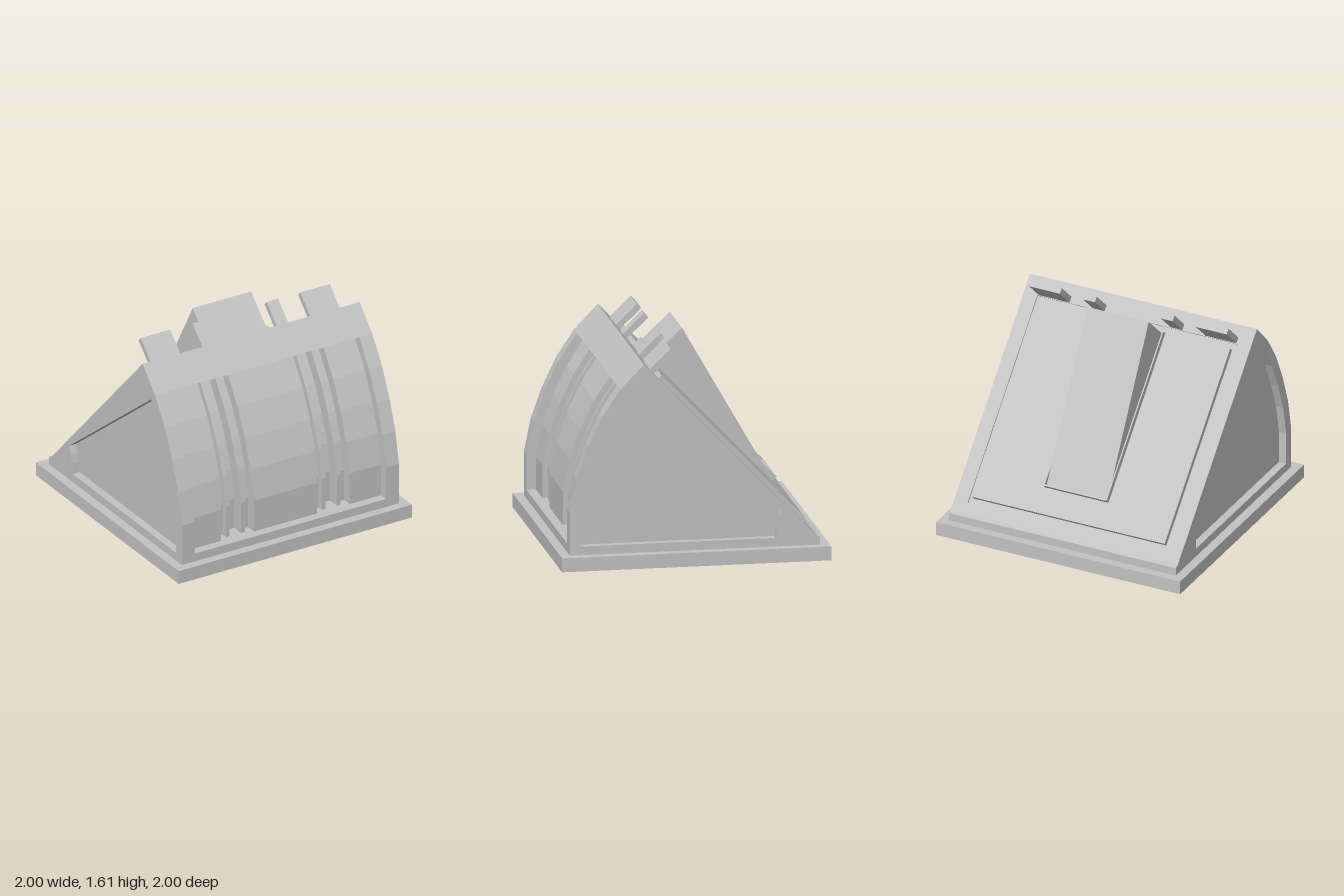
import * as THREE from 'three';

export function createModel() {
  const model = new THREE.Group();
  const grey = new THREE.MeshStandardMaterial({ color: 0xc2c2c2 });
  grey.name = 'lightGrey';

  // Extrude a side profile of [z, y] points from x0 to x1
  function prism(name, x0, x1, points, hole) {
    const toVec = (p) => new THREE.Vector2(p[0], p[1]);
    const shape = new THREE.Shape(points.map(toVec));
    if (hole) shape.holes.push(new THREE.Path(hole.map(toVec)));
    const geo = new THREE.ExtrudeGeometry(shape, { depth: x1 - x0, bevelEnabled: false });
    geo.rotateY(-Math.PI / 2);
    geo.translate(x1, 0, 0);
    const mesh = new THREE.Mesh(geo, grey);
    mesh.name = name;
    model.add(mesh);
  }

  // Point on the sloping back: s runs down the slope, n stands out from it
  const on = (s, n) => [0.38 - 0.689 * s - 0.724 * n, 1.52 - 0.724 * s + 0.689 * n];
  const slab = (name, x0, x1, s0, s1, n0, n1) =>
    prism(name, x0, x1, [on(s0, n0), on(s1, n0), on(s1, n1), on(s0, n1)]);

  // Curved front: vertices with their outward directions
  const arc = [
    [0.93, 0.43, 1, 0.1], [0.88, 0.677, 0.965, 0.26],
    [0.797, 0.91, 0.92, 0.39], [0.69, 1.135, 0.87, 0.5],
  ];
  const inset = (d) => [[0.93 - d, 0.17], ...arc.map(([z, y, nz, ny]) => [z - nz * d, y - ny * d])];

  const backFoot = [[-0.9, 0.175], [-0.93, 0.165], [-0.93, 0.105]];
  const outer = [[0.93, 0.105], ...inset(0).slice(1), [0.556, 1.337], [0.38, 1.52], ...backFoot];

  // Body cross-section with the front sunk by d and a shallow tray in the back
  const sunk = (d) => [
    [0.93, 0.105], [0.93, 0.17], ...inset(d),
    [0.556 - 0.98 * d, 1.337 - 0.33 * d], [0.556, 1.337], [0.38, 1.52],
    on(0.145, 0), on(0.145, -0.01), on(1.778, -0.01), on(1.778, 0), ...backFoot,
  ];

  // Base
  const base = new THREE.Mesh(new THREE.BoxGeometry(2, 0.105, 2), grey);
  base.name = 'base';
  base.position.y = 0.0525;
  model.add(base);

  // Side frames around sunken side panels
  const sideHole = [
    ...inset(0.08), [0.5, 1.28], [-0.65, 0.38], [-0.625, 0.32], [-0.608, 0.25], [-0.6, 0.17],
  ];
  for (const [a, b, hole] of [[0.87, 0.93, sideHole], [0.82, 0.87, null]]) {
    const name = hole ? 'sideFrame' : 'sideWall';
    prism(name, a, b, outer, hole);
    prism(name, -b, -a, outer, hole);
  }

  // Front panel with vertical grooves and ridges: [x from, x to, depth]
  prism('frontPanelCentre', -0.27, 0.27, sunk(0.07));
  const bands = [
    [0.27, 0.33, 0.15], [0.33, 0.362, 0.1], [0.362, 0.46, 0.195],
    [0.46, 0.49, 0.1], [0.49, 0.55, 0.15], [0.55, 0.82, 0.07],
  ];
  for (const [a, b, d] of bands) {
    prism('frontPanelBand', a, b, sunk(d));
    prism('frontPanelBand', -b, -a, sunk(d));
  }

  // Raised plate on the sloping back
  slab('backPlate', -0.79, 0.79, 0.196, 1.731, -0.01, 0.03);

  // Wedge and the thin rim around its foot
  prism('wedge', -0.25, 0.25, [
    on(0.215, 0.03), on(1.52, 0.03), on(1.52, 0.036), on(0.217, 0.359),
  ]);
  slab('wedgeRimTop', -0.26, 0.26, 0.2, 0.215, 0.03, 0.073);
  slab('wedgeRimBottom', -0.26, 0.26, 1.52, 1.532, 0.03, 0.073);
  slab('wedgeRimSide', 0.25, 0.26, 0.215, 1.52, 0.03, 0.073);
  slab('wedgeRimSide', -0.26, -0.25, 0.215, 1.52, 0.03, 0.073);

  // Tabs along the top edge
  for (const [a, b] of [[0.27, 0.367], [0.557, 0.81]]) {
    slab('tab', a, b, 0.095, 0.14, -0.01, 0.217);
    slab('tab', -b, -a, 0.095, 0.14, -0.01, 0.217);
  }
  return model;
}
